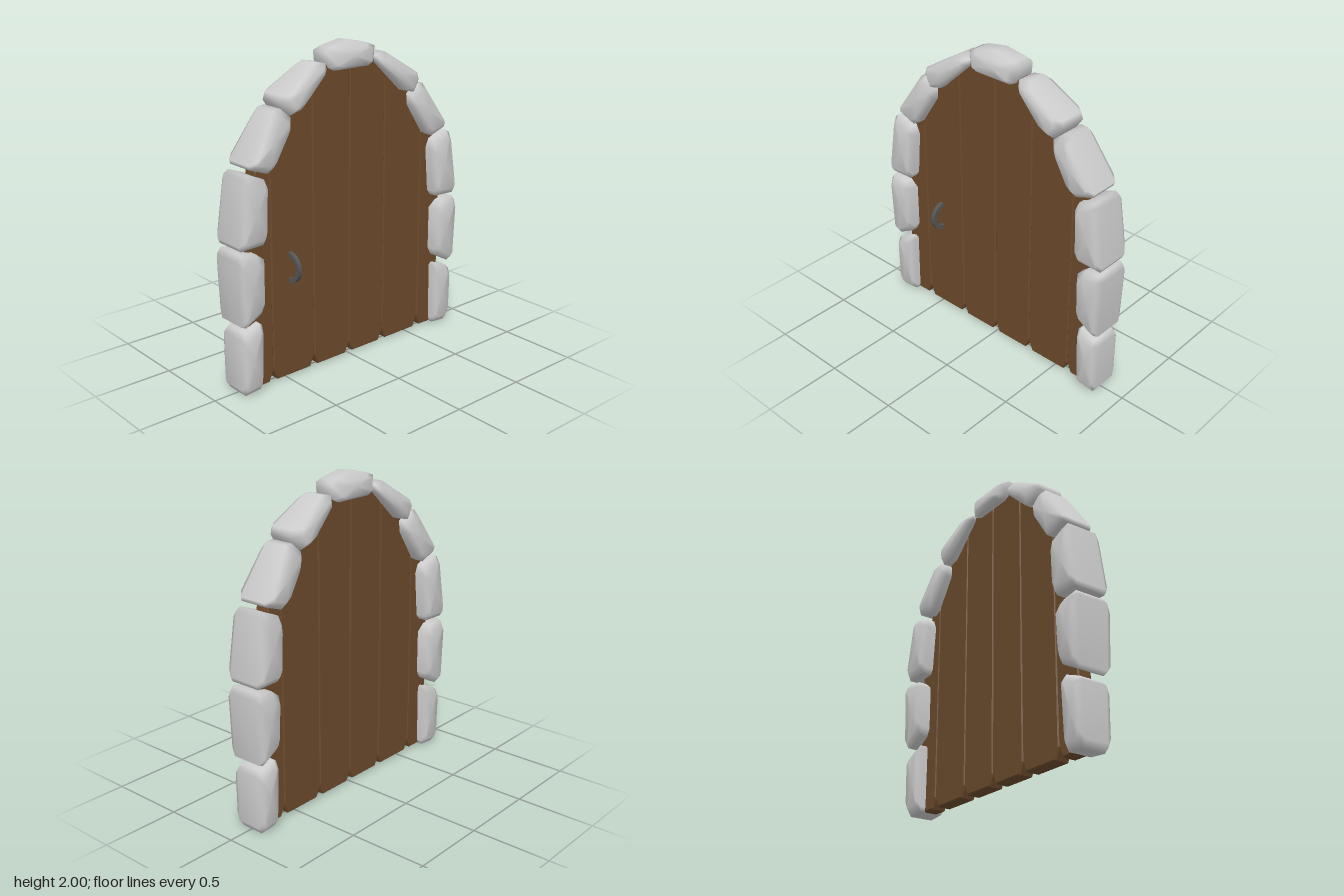
import * as THREE from 'three';

const stoneMat = new THREE.MeshStandardMaterial({ color: 0xcccccc });
const woodMat = new THREE.MeshStandardMaterial({ color: 0x6b4a2b });
const ironMat = new THREE.MeshStandardMaterial({ color: 0x555555 });

// Stone outlines on the +x side, counter-clockwise, with half depth at the bottom and the top
const sideStones = [
  { depth: [0.11, 0.117], pts: [[0.71, 0.04], [0.72, 0.01], [0.83, 0], [0.86, 0.045], [0.86, 0.37], [0.83, 0.4], [0.725, 0.44], [0.705, 0.425]] },
  { depth: [0.13, 0.135], pts: [[0.69, 0.55], [0.715, 0.5], [0.825, 0.44], [0.86, 0.455], [0.875, 0.855], [0.85, 0.89], [0.745, 0.875], [0.69, 0.83]] },
  { depth: [0.137, 0.125], pts: [[0.67, 0.955], [0.695, 0.92], [0.85, 0.915], [0.865, 0.945], [0.815, 1.325], [0.785, 1.345], [0.67, 1.3], [0.645, 1.24]] },
  { depth: [0.13, 0.11], pts: [[0.47, 1.55], [0.6, 1.355], [0.65, 1.33], [0.765, 1.37], [0.775, 1.395], [0.58, 1.675], [0.535, 1.68], [0.465, 1.62]] },
  { depth: [0.13, 0.095], pts: [[0.19, 1.85], [0.4, 1.655], [0.485, 1.635], [0.535, 1.705], [0.525, 1.75], [0.27, 1.905], [0.195, 1.89]] },
];
const keystone = {
  depth: [0.105, 0.085],
  pts: [[-0.17, 1.86], [-0.13, 1.84], [0.13, 1.84], [0.17, 1.86], [0.19, 1.95], [0.14, 1.972], [0, 2], [-0.14, 1.972], [-0.19, 1.95]],
};

// Pillow-edged block: inset back ring, two full rings, inset front ring, capped at both ends
function stoneGeometry({ pts, depth }, mirror) {
  const outline = mirror ? pts.map(([x, y]) => [-x, y]).reverse() : pts;
  const n = outline.length;
  const cx = outline.reduce((s, p) => s + p[0], 0) / n;
  const cy = outline.reduce((s, p) => s + p[1], 0) / n;
  const ys = outline.map((p) => p[1]);
  const y0 = Math.min(...ys), y1 = Math.max(...ys);
  const half = (y) => depth[0] + (depth[1] - depth[0]) * (y - y0) / (y1 - y0);
  const pos = [], index = [];
  const rings = [[-1, 0, 0.045], [-1, 0.035, 0], [1, 0.035, 0], [1, 0, 0.045]];
  for (const [side, drop, inset] of rings) {
    for (const [x, y] of outline) {
      const k = 1 - inset / Math.hypot(x - cx, y - cy);
      pos.push(cx + (x - cx) * k, cy + (y - cy) * k, side * (half(y) - drop) - 0.005);
    }
  }
  pos.push(cx, cy, -half(cy) - 0.005, cx, cy, half(cy) - 0.005);
  for (let i = 0; i < n; i++) {
    const j = (i + 1) % n;
    for (let r = 0; r < 3; r++) {
      const a = r * n + i, b = r * n + j;
      index.push(a, b, b + n, a, b + n, a + n);
    }
    index.push(4 * n, j, i, 4 * n + 1, 3 * n + i, 3 * n + j);
  }
  const geo = new THREE.BufferGeometry();
  geo.setAttribute('position', new THREE.Float32BufferAttribute(pos, 3));
  geo.setIndex(index);
  geo.computeVertexNormals();
  return geo;
}

// Door top edge as height over |x|
const arch = [[0, 1.9], [0.19, 1.875], [0.48, 1.64], [0.7, 1.34], [0.78, 0.95]];
function archHeight(x) {
  const ax = Math.abs(x);
  const i = Math.max(1, arch.findIndex((p) => p[0] >= ax));
  const [a, b] = [arch[i - 1], arch[i]];
  return a[1] + (b[1] - a[1]) * (ax - a[0]) / (b[0] - a[0]);
}

// Plank from x = a to x = b, with notched lower corners and chamfered edges
function plankGeometry(a, b) {
  const foot = 0.01, notch = 0.03, notchTop = 0.08;
  const outer = 0.78;
  const pts = [];
  if (a > -outer) pts.push([a, notchTop], [a + notch, foot]);
  else pts.push([a, foot]);
  if (b < outer) pts.push([b - notch, foot], [b, notchTop]);
  else pts.push([b, foot]);
  const breaks = arch.flatMap(([x]) => [x, -x]).filter((x) => x > a + 0.001 && x < b - 0.001);
  for (const x of [b, ...breaks.sort((p, q) => q - p), a]) pts.push([x, archHeight(x)]);
  const bevel = 0.008;
  const geo = new THREE.ExtrudeGeometry(new THREE.Shape(pts.map((p) => new THREE.Vector2(...p))), {
    depth: 0.095 - 2 * bevel, bevelSize: bevel, bevelThickness: bevel, bevelOffset: -bevel, bevelSegments: 1,
  });
  return geo.translate(0, 0, -0.05 + bevel);
}

// Bowed pull handle: crescent in the depth/height plane, extruded sideways
function handleGeometry() {
  const pts = [];
  const steps = 12;
  for (let i = 0; i <= steps; i++) {
    const t = -Math.PI / 2 + (i / steps) * Math.PI;
    pts.push(new THREE.Vector2(0.04 + 0.1 * Math.cos(t), 0.71 + 0.097 * Math.sin(t)));
  }
  for (let i = steps; i >= 0; i--) {
    const t = -Math.PI / 2 + (i / steps) * Math.PI;
    pts.push(new THREE.Vector2(0.04 + 0.073 * Math.cos(t), 0.71 + 0.068 * Math.sin(t)));
  }
  const geo = new THREE.ExtrudeGeometry(new THREE.Shape(pts), { depth: 0.026, bevelEnabled: false });
  return geo.rotateY(-Math.PI / 2).translate(-0.45, 0, 0);
}

export function createModel() {
  const model = new THREE.Group();
  model.name = 'archedDoor';
  const add = (parent, name, geo, mat) => {
    const mesh = new THREE.Mesh(geo, mat);
    mesh.name = name;
    parent.add(mesh);
  };

  // Wooden door leaf
  const door = new THREE.Group();
  door.name = 'door';
  const seams = [-0.78, -0.6, -0.285, 0, 0.285, 0.6, 0.78];
  for (let i = 0; i < seams.length - 1; i++) {
    add(door, `plank${i + 1}`, plankGeometry(seams[i], seams[i + 1]), woodMat);
  }
  add(door, 'handle', handleGeometry(), ironMat);

  // Stone surround
  const surround = new THREE.Group();
  surround.name = 'stoneArch';
  sideStones.forEach((stone, i) => {
    add(surround, `leftStone${i + 1}`, stoneGeometry(stone, false), stoneMat);
    add(surround, `rightStone${i + 1}`, stoneGeometry(stone, true), stoneMat);
  });
  add(surround, 'keystone', stoneGeometry(keystone, false), stoneMat);

  model.add(door, surround);
  return model;
}
